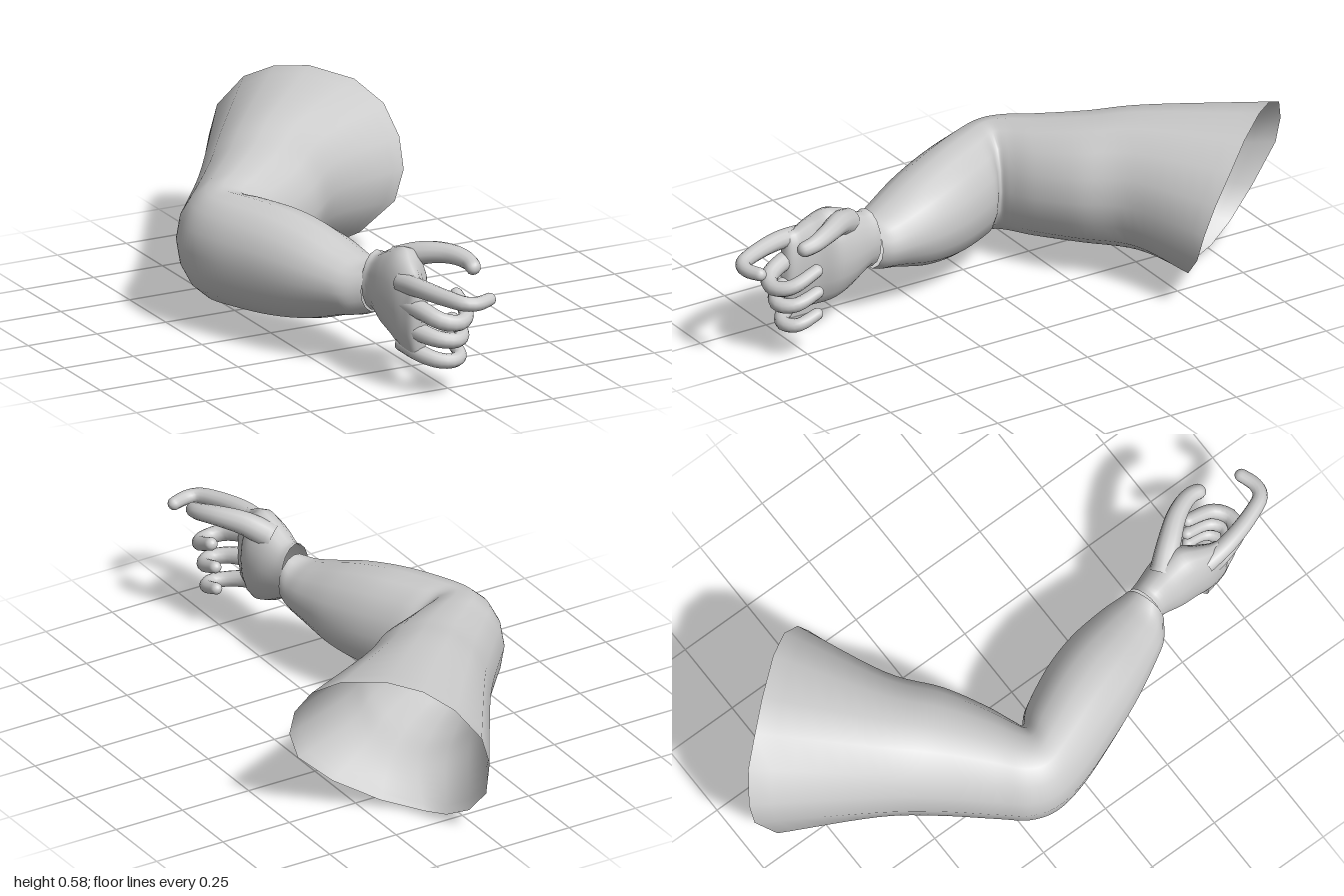
import * as THREE from 'three';

const N = 16; // points around each cross-section
const V = (x, y, z) => new THREE.Vector3(x, y, z);
const material = new THREE.MeshStandardMaterial({ color: 0xcccccc, side: THREE.DoubleSide });

// Oval cross-section from its inner and outer (x, z) sides and its lowest and highest y
function oval([ox, oz, ix, iz, lo, hi]) {
  return Array.from({ length: N }, (_, j) => {
    const a = (j / N) * Math.PI * 2, c = Math.cos(a) / 2;
    return V((ox + ix) / 2 + c * (ix - ox), (lo + hi) / 2 + Math.sin(a) * (hi - lo) / 2, (oz + iz) / 2 + c * (iz - oz));
  });
}

// Smooth skin through a row of cross-sections
function loft(name, rings, steps) {
  const lines = Array.from({ length: N }, (_, j) => new THREE.CatmullRomCurve3(rings.map(r => r[j]), false, 'catmullrom', 0.5));
  const pos = [], index = [];
  for (let i = 0; i <= steps; i++) {
    for (let j = 0; j < N; j++) {
      pos.push(...lines[j].getPoint(i / steps).toArray());
      if (i === steps) continue;
      const k = (j + 1) % N, a = i * N + j, b = i * N + k;
      index.push(a, b, b + N, a, b + N, a + N);
    }
  }
  const geo = new THREE.BufferGeometry();
  geo.setAttribute('position', new THREE.Float32BufferAttribute(pos, 3));
  geo.setIndex(index);
  geo.computeVertexNormals();
  const mesh = new THREE.Mesh(geo, material);
  mesh.name = name;
  return mesh;
}

// Tapered finger with a rounded tip
function finger(name, points, r0, r1) {
  const curve = new THREE.CatmullRomCurve3(points.map(p => V(...p)));
  const steps = 28, sides = 12, len = curve.getLength();
  const geo = new THREE.TubeGeometry(curve, steps, 1, sides);
  const p = geo.attributes.position, v = V(0, 0, 0);
  for (let i = 0; i <= steps; i++) {
    // rings bunch up towards the tip so that it closes as a dome
    const t = Math.sin((i / steps) * Math.PI / 2);
    const c = curve.getPointAt(t), from = curve.getPointAt(i / steps);
    const end = Math.min(1, (1 - t) * len / r1);
    const r = (r0 + (r1 - r0) * t) * Math.sqrt(Math.max(0, 1 - (1 - end) ** 2));
    const turn = new THREE.Quaternion().setFromUnitVectors(curve.getTangentAt(i / steps), curve.getTangentAt(t));
    for (let j = 0; j <= sides; j++) {
      const k = i * (sides + 1) + j;
      v.fromBufferAttribute(p, k).sub(from).applyQuaternion(turn).multiplyScalar(r).add(c);
      p.setXYZ(k, v.x, v.y, v.z);
    }
  }
  geo.computeVertexNormals();
  // share normals across the tube seam
  const n = geo.attributes.normal;
  for (let i = 0; i <= steps; i++) {
    const a = i * (sides + 1), b = a + sides;
    v.fromBufferAttribute(n, a).add(V(n.getX(b), n.getY(b), n.getZ(b))).normalize();
    n.setXYZ(a, v.x, v.y, v.z);
    n.setXYZ(b, v.x, v.y, v.z);
  }
  const mesh = new THREE.Mesh(geo, material);
  mesh.name = name;
  return mesh;
}

export function createModel() {
  const group = new THREE.Group();
  group.name = 'arm';

  // Slanted, open shoulder edge: armpit side, over the top, outer side, underneath
  const shoulder = [
    [.475, .30, -.46], [.48, .40, -.50], [.46, .495, -.57], [.40, .56, -.66],
    [.30, .585, -.78], [.22, .57, -.87], [.15, .52, -.95], [.08, .42, -1],
    [.05, .32, -1], [.02, .17, -.93], [.03, .07, -.84], [.06, .02, -.75],
    [.09, 0, -.66], [.20, .03, -.57], [.33, .10, -.49], [.44, .20, -.455],
  ].map(p => V(...p));

  // Sleeve: upper arm, bent elbow, forearm, cuff
  const sleeve = [
    [-.16, -.66, .20, -.36, .075, .545],
    [-.27, -.50, .05, -.24, .082, .51],
    [-.39, -.35, -.08, -.165, .08, .48],
    [-.455, -.265, -.17, -.127, .08, .465],
    [-.48, -.17, -.20, -.11, .08, .457],
    [-.46, -.05, -.155, -.065, .08, .455],
    [-.405, .10, -.085, .07, .085, .445],
    [-.34, .25, -.045, .20, .11, .415],
    [-.27, .38, -.03, .33, .155, .37],
    [-.23, .44, -.03, .40, .172, .352],
    [-.175, .482, -.035, .44, .19, .36],
  ].map(oval);
  group.add(loft('sleeve', [shoulder, ...sleeve], 66));

  // Palm: open wrist rim to closed knuckles
  const palm = [
    [-.17, .475, -.045, .44, .195, .40],
    [-.163, .50, -.035, .475, .195, .40],
    [-.17, .56, -.01, .55, .155, .435],
    [-.17, .62, -.005, .62, .13, .455],
    [-.167, .68, -.04, .68, .115, .43],
    [-.155, .73, -.065, .73, .11, .40],
    [-.14, .765, -.08, .765, .13, .38],
    [-.111, .78, -.109, .78, .25, .252],
  ].map(oval);
  group.add(loft('palm', palm, 35));

  // Thumb and four curled fingers
  group.add(finger('thumb', [[-.08, .39, .55], [-.02, .425, .62], [.04, .435, .70], [.067, .425, .77], [.06, .41, .825]], .045, .024));
  group.add(finger('indexFinger', [[-.13, .36, .68], [-.12, .368, .78], [-.085, .365, .90], [-.05, .36, .965], [-.01, .357, .975], [.062, .36, .95]], .034, .021));
  group.add(finger('middleFinger', [[-.13, .295, .68], [-.11, .29, .78], [-.075, .27, .85], [-.02, .26, .865], [.025, .27, .83], [.038, .32, .72]], .034, .021));
  group.add(finger('ringFinger', [[-.13, .22, .68], [-.105, .21, .77], [-.07, .20, .825], [-.02, .195, .845], [.02, .20, .81], [.028, .235, .71]], .033, .02));
  group.add(finger('littleFinger', [[-.125, .155, .67], [-.10, .135, .76], [-.06, .122, .81], [-.02, .12, .825], [.018, .125, .80], [.024, .155, .71]], .031, .019));

  return group;
}
